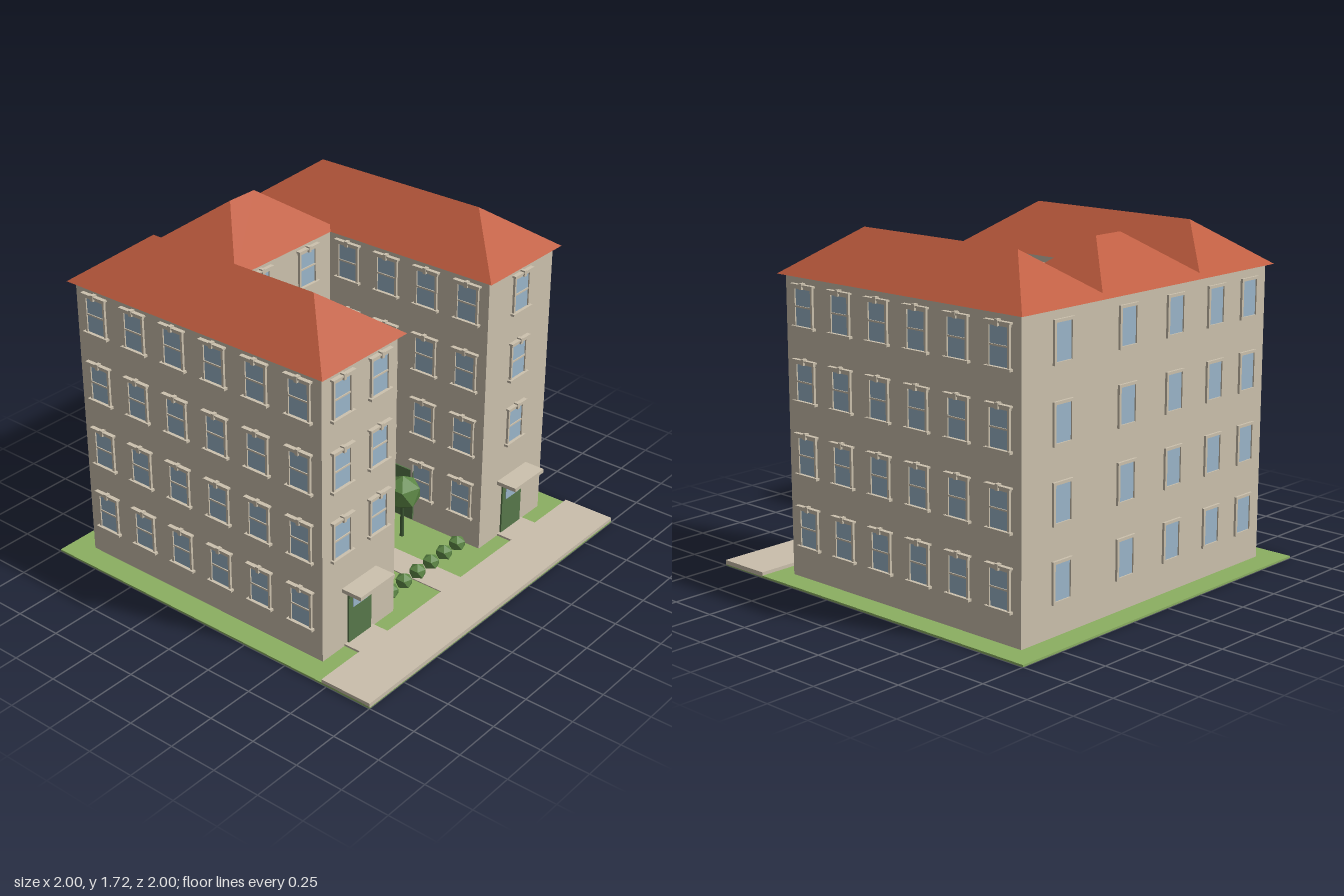
import * as THREE from 'three';
import { mergeGeometries } from 'three/addons/utils/BufferGeometryUtils.js';

const mat = (name, color) => Object.assign(new THREE.MeshStandardMaterial({ color }), { name });

// Box geometry given by its centre x, bottom y, back z
function block(w, h, d, x, y, z) {
  return new THREE.BoxGeometry(w, h, d).translate(x, y + h / 2, z + d / 2);
}

// Hipped roof, ridge along z, closed underneath
function hipRoof(width, length, height) {
  const a = width / 2, b = length / 2, r = b - a;
  const p = [[-a, 0, b], [a, 0, b], [a, 0, -b], [-a, 0, -b], [0, height, r], [0, height, -r]];
  const tris = [[0, 1, 4], [1, 2, 5], [1, 5, 4], [2, 3, 5], [3, 0, 4], [3, 4, 5], [0, 3, 2], [0, 2, 1]];
  const g = new THREE.BufferGeometry();
  g.setAttribute('position', new THREE.Float32BufferAttribute(tris.flat().flatMap(i => p[i]), 3));
  g.computeVertexNormals();
  return g;
}

export function createModel() {
  const model = new THREE.Group();
  model.name = 'courtyardApartments';
  const wall = mat('wall stone', 0xcdc2ae);
  const paving = mat('paving', 0xcbbfac);
  const grass = mat('grass', 0x8cb062);
  const roofTile = mat('roof tile', 0xbf5c3e);
  const glass = mat('window glass', 0x9bb6ca);
  const green = mat('door green', 0x57784a);
  const leaf = mat('foliage', 0x5d8746);
  const bark = mat('bark', 0x3f5a34);
  leaf.flatShading = true;

  const add = (name, geo, material, parent = model) => {
    const m = new THREE.Mesh(geo, material);
    m.name = name;
    parent.add(m);
    return m;
  };

  // Grounds
  add('lawn', block(2, 0.01, 2, 0, 0, -1), grass);
  add('sidewalk', block(2, 0.022, 0.28, 0, 0.005, 0.72), paving);
  add('path', block(0.16, 0.01, 1.07, 0, 0.005, -0.35), paving);

  // Two wings joined by a rear block
  const H = 1.5, base = 0.005, roofH = 0.22;
  for (const s of [-1, 1]) {
    add('wingWalls', block(0.527, H - base, 1.502, s * 0.6135, base, -0.877), wall);
    add('wingRoof', hipRoof(0.587, 1.562, roofH), roofTile).position.set(s * 0.6135, H, -0.126);
  }
  add('rearWalls', block(0.7, H - base, 0.527, 0, base, -0.877), wall);
  add('rearRoof', hipRoof(0.587, 0.76, roofH).rotateY(Math.PI / 2), roofTile).position.set(0, H, -0.6135);

  // Ornate sash window: origin at the bottom of the sill, facing +z
  const ornateTrim = mergeGeometries([
    block(0.155, 0.012, 0.022, 0, 0, 0),
    block(0.012, 0.18, 0.012, -0.06, 0.012, 0),
    block(0.012, 0.18, 0.012, 0.06, 0.012, 0),
    block(0.108, 0.008, 0.01, 0, 0.1, 0),
    block(0.136, 0.016, 0.014, 0, 0.19, 0),
    block(0.155, 0.009, 0.022, 0, 0.204, 0),
    block(0.018, 0.03, 0.025, 0, 0.19, 0),
  ]);
  const ornateGlass = block(0.108, 0.18, 0.005, 0, 0.012, 0);

  // Plain window with a simple frame
  const plainTrim = mergeGeometries([
    block(0.13, 0.014, 0.012, 0, 0, 0),
    block(0.13, 0.014, 0.012, 0, 0.188, 0),
    block(0.014, 0.174, 0.012, -0.058, 0.014, 0),
    block(0.014, 0.174, 0.012, 0.058, 0.014, 0),
  ]);
  const plainGlass = block(0.102, 0.174, 0.005, 0, 0.014, 0);

  function windowColumn(x, z, angle, { plain = false, firstFloor = 0 } = {}) {
    for (let floor = firstFloor; floor < 4; floor++) {
      const w = new THREE.Group();
      w.name = plain ? 'plainWindow' : 'sashWindow';
      add('windowTrim', plain ? plainTrim : ornateTrim, wall, w);
      add('windowPane', plain ? plainGlass : ornateGlass, glass, w);
      w.position.set(x, 0.163 + floor * 0.3623, z);
      w.rotation.y = angle;
      model.add(w);
    }
  }

  // Side walls: six columns outside, four towards the courtyard
  for (const s of [-1, 1]) {
    for (let i = 0; i < 6; i++) windowColumn(s * 0.877, 0.499 - i * 0.25, s * Math.PI / 2);
    for (let i = 0; i < 4; i++) windowColumn(s * 0.35, 0.503 - i * 0.244, -s * Math.PI / 2);
  }
  // Street fronts, courtyard front and back wall
  for (const x of [-0.743, -0.481, 0.6135]) {
    windowColumn(x, 0.625, 0, { firstFloor: 1 });
    windowColumn(x, -0.877, Math.PI, { plain: true });
  }
  for (const x of [-0.172, 0.172]) {
    windowColumn(x, -0.35, 0);
    windowColumn(x, -0.877, Math.PI, { plain: true });
  }

  // Doors, with optional pane, canopy and step
  function entrance(x, z, angle, { width = 0.165, pane = false, canopy = false } = {}) {
    const e = new THREE.Group();
    e.name = 'entrance';
    add('door', block(width, 0.29, 0.009, 0, 0.02, 0), green, e);
    if (pane) add('doorPane', block(0.112, 0.086, 0.004, 0, 0.208, 0.008), glass, e);
    if (canopy) {
      add('canopy', block(0.25, 0.02, 0.112, 0, 0.322, 0), wall, e);
      add('step', block(0.21, 0.015, 0.1, 0, 0.006, 0), paving, e);
    }
    e.position.set(x, 0, z);
    e.rotation.y = angle;
    model.add(e);
  }
  for (const s of [-1, 1]) {
    entrance(s * 0.6135, 0.625, 0, { pane: true, canopy: true });
    entrance(s * 0.35, 0.125, -s * Math.PI / 2);
  }
  entrance(0, -0.35, 0, { width: 0.18, canopy: true });

  // Faceted trees and a row of shrubs
  const crown = new THREE.IcosahedronGeometry(1, 0).rotateZ(-Math.atan(2 / (1 + Math.sqrt(5))));
  for (const [x, z] of [[-0.2, -0.07], [0.2, 0.25]]) {
    const tree = new THREE.Group();
    tree.name = 'tree';
    add('trunk', new THREE.CylinderGeometry(0.01, 0.012, 0.2, 6).translate(0, 0.105, 0), bark, tree);
    const c = add('crown', crown, leaf, tree);
    c.scale.set(0.102, 0.095, 0.102);
    c.position.y = 0.27;
    tree.position.set(x, 0, z);
    model.add(tree);
  }
  for (let i = 0; i < 6; i++) {
    const shrub = add('shrub', crown, leaf);
    shrub.scale.set(0.047, 0.042, 0.047);
    shrub.position.set(-0.273 + i * 0.109, 0.05, 0.545);
  }

  // Courtyard bench
  add('benchSeat', block(0.06, 0.012, 0.195, 0.175, 0.048, -0.25), roofTile);
  for (const z of [-0.23, -0.087]) add('benchLeg', block(0.045, 0.042, 0.012, 0.175, 0.006, z), roofTile);

  return model;
}
